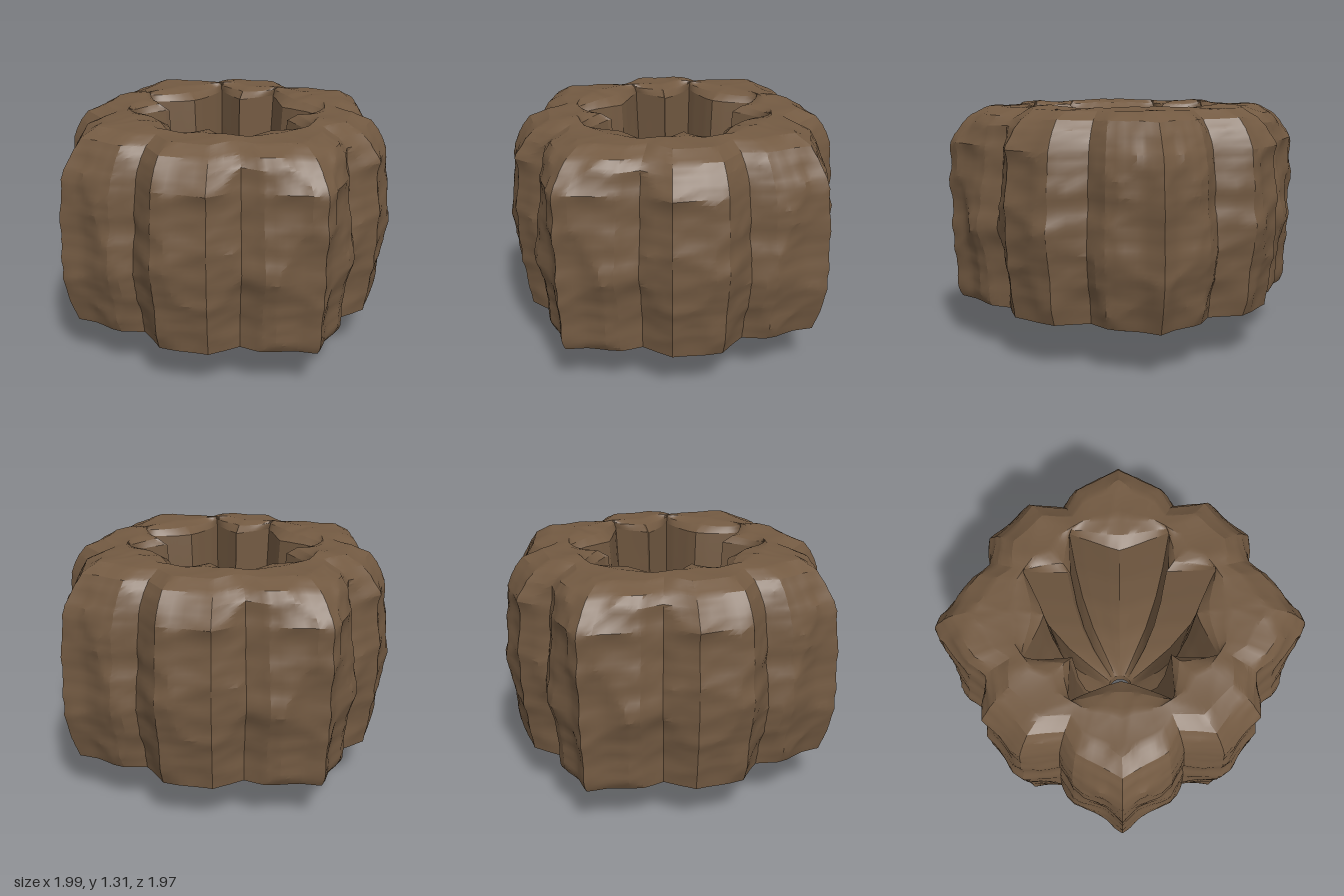
import * as THREE from 'three';
import { toCreasedNormals } from 'three/addons/utils/BufferGeometryUtils.js';

// One eighth of the plan, from the +x point to the diagonal: lobed outside and star-shaped opening
const OUTER = [[1, 0], [0.93, 0.09], [0.88, 0.2], [0.84, 0.26], [0.73, 0.33], [0.73, 0.53], [0.63, 0.63]];
const INNER = [[0.37, 0], [0.39, 0.06], [0.42, 0.13], [0.445, 0.19], [0.475, 0.25], [0.34, 0.245], [0.23, 0.24]];
const SUB = 4, EIGHTH = 6 * SUB, COLS = 8 * EIGHTH;

// Rows: height, share of outer plan, share of opening plan, circle radius, radial and vertical roughness
const UNDERSIDE = [
  [0, 0, 0, 0.065, 0, 0], [0, 0, 0, 0.075, 0, 0], [0.04, 0.05, 0, 0.08, 0.1, 0.1], [0.1, 0.14, 0, 0.07, 0.2, 0.3],
  [0.155, 0.25, 0, 0.05, 0.3, 0.4], [0.195, 0.4, 0, 0.01, 0.3, 0.4], [0.225, 0.62, 0, 0, 0.3, 0.3],
  [0.24, 0.92, 0, 0, 0.6, 0.1],
];
const WALL = [
  [0.24, 0.92, 0, 0, 0.6, 0.1], [0.31, 0.945, 0, 0, 1, 0], [0.45, 0.965, 0, 0, 1, 0], [0.65, 0.99, 0, 0, 1, 0],
  [0.9, 0.98, 0, 0, 1, 0], [1.1, 0.955, 0, 0, 1, 0.1], [1.2, 0.9, 0, 0, 1, 0.3], [1.25, 0.85, 0, 0, 0.8, 0.3],
  [1.295, 0.75, 0, 0, 0.5, 0.4], [1.305, 0.4, 0.4, 0, 0, 0.4], [1.285, 0.15, 0.77, 0, 0, 0.4], [1.25, 0, 1, 0, 0, 0.3],
];
const CAVITY = [
  [1.25, 0, 1, 0, 0, 0.3], [0.9, 0, 0.94, 0, 0.1, 0], [0.6, 0, 0.83, 0, 0.1, 0], [0.35, 0, 0.62, 0, 0.1, 0],
  [0.2, 0, 0.3, 0.04, 0.1, 0], [0.06, 0, 0, 0.07, 0, 0], [0, 0, 0, 0.065, 0, 0],
];

function hash(x, y, z, k) {
  let h = Math.imul(x, 374761393) ^ Math.imul(y, 668265263) ^ Math.imul(z, 1274126177) ^ Math.imul(k, 974634777);
  h = Math.imul(h ^ (h >>> 13), 1103515245);
  h = Math.imul(h ^ (h >>> 15), 668265263);
  return ((h ^ (h >>> 16)) >>> 0) / 4294967296;
}

// Squared distance to the nearest scattered point: smooth bowls meeting in sharp ridges
function scoops(x, y, z, seed) {
  const cx = Math.floor(x), cy = Math.floor(y), cz = Math.floor(z);
  let best = 1;
  for (let i = cx - 1; i <= cx + 1; i++)
    for (let j = cy - 1; j <= cy + 1; j++)
      for (let k = cz - 1; k <= cz + 1; k++) {
        const dx = i + hash(i, j, k, seed) - x;
        const dy = j + hash(i, j, k, seed + 1) - y;
        const dz = k + hash(i, j, k, seed + 2) - z;
        best = Math.min(best, dx * dx + dy * dy + dz * dz);
      }
  return best;
}

// Chipped rock with flat horizontal layers, mirrored left to right and front to back
function roughness(x, y, z) {
  x = Math.abs(x);
  z = Math.abs(z);
  return 0.055 * (scoops(x * 4, y * 3.5, z * 4, 3) - 0.33) + 0.018 * (scoops(x * 4, y * 11, z * 4, 11) - 0.33);
}

function samplePlan(plan, f) {
  const i = Math.min(5, Math.floor(f)), t = f - i;
  return [0, 1].map((n) => plan[i][n] + (plan[i + 1][n] - plan[i][n]) * t);
}

// Mirrors and turns the eighth to reach any column of the full plan
function planPoint(plan, col) {
  const eighth = Math.floor(col / EIGHTH), r = col % EIGHTH;
  let [x, z] = samplePlan(plan, (eighth % 2 ? EIGHTH - r : r) / SUB);
  if (eighth % 2) [x, z] = [z, x];
  for (let q = 0; q < Math.floor(eighth / 2); q++) [x, z] = [-z, x];
  return [x, z];
}

// Lofts a closed band of rock through the given rows
function rockBand(rows, spacing) {
  const dense = [rows[0]];
  for (let i = 1; i < rows.length; i++) {
    const a = rows[i - 1], b = rows[i];
    const size = Math.hypot(b[0] - a[0], b[1] - a[1] + 0.4 * (b[2] - a[2]));
    const n = Math.max(1, Math.round(size / spacing));
    for (let s = 1; s <= n; s++) dense.push(a.map((v, k) => v + ((b[k] - v) * s) / n));
  }
  const positions = [], index = [];
  dense.forEach(([y, o, inn, circle, rough, bump], row) => {
    for (let c = 0; c < COLS; c++) {
      const [ox, oz] = planPoint(OUTER, c), [ix, iz] = planPoint(INNER, c);
      const len = Math.hypot(ox, oz), ux = ox / len, uz = oz / len;
      const x = ox * o + ix * inn * 0.97 + ux * circle;
      const z = oz * o + iz * inn * 1.05 + uz * circle;
      const d = roughness(x, y, z);
      positions.push(x + ux * d * rough, y + d * bump, z + uz * d * rough);
      if (row === 0) continue;
      const next = (c + 1) % COLS, lo = (row - 1) * COLS, hi = row * COLS;
      index.push(lo + c, hi + c, lo + next, hi + c, hi + next, lo + next);
    }
  });
  const geometry = new THREE.BufferGeometry();
  geometry.setAttribute('position', new THREE.Float32BufferAttribute(positions, 3));
  geometry.setIndex(index);
  return toCreasedNormals(geometry, 0.4);
}

export function createModel() {
  const group = new THREE.Group();
  group.name = 'hollowRock';
  const rock = new THREE.MeshStandardMaterial({ color: 0x735a42 });
  rock.name = 'brown rock';
  const parts = { underside: [UNDERSIDE, 0.04], outerWallAndRim: [WALL, 0.025], starCavity: [CAVITY, 0.06] };
  for (const [name, [rows, spacing]] of Object.entries(parts)) {
    const mesh = new THREE.Mesh(rockBand(rows, spacing), rock);
    mesh.name = name;
    group.add(mesh);
  }
  return group;
}
